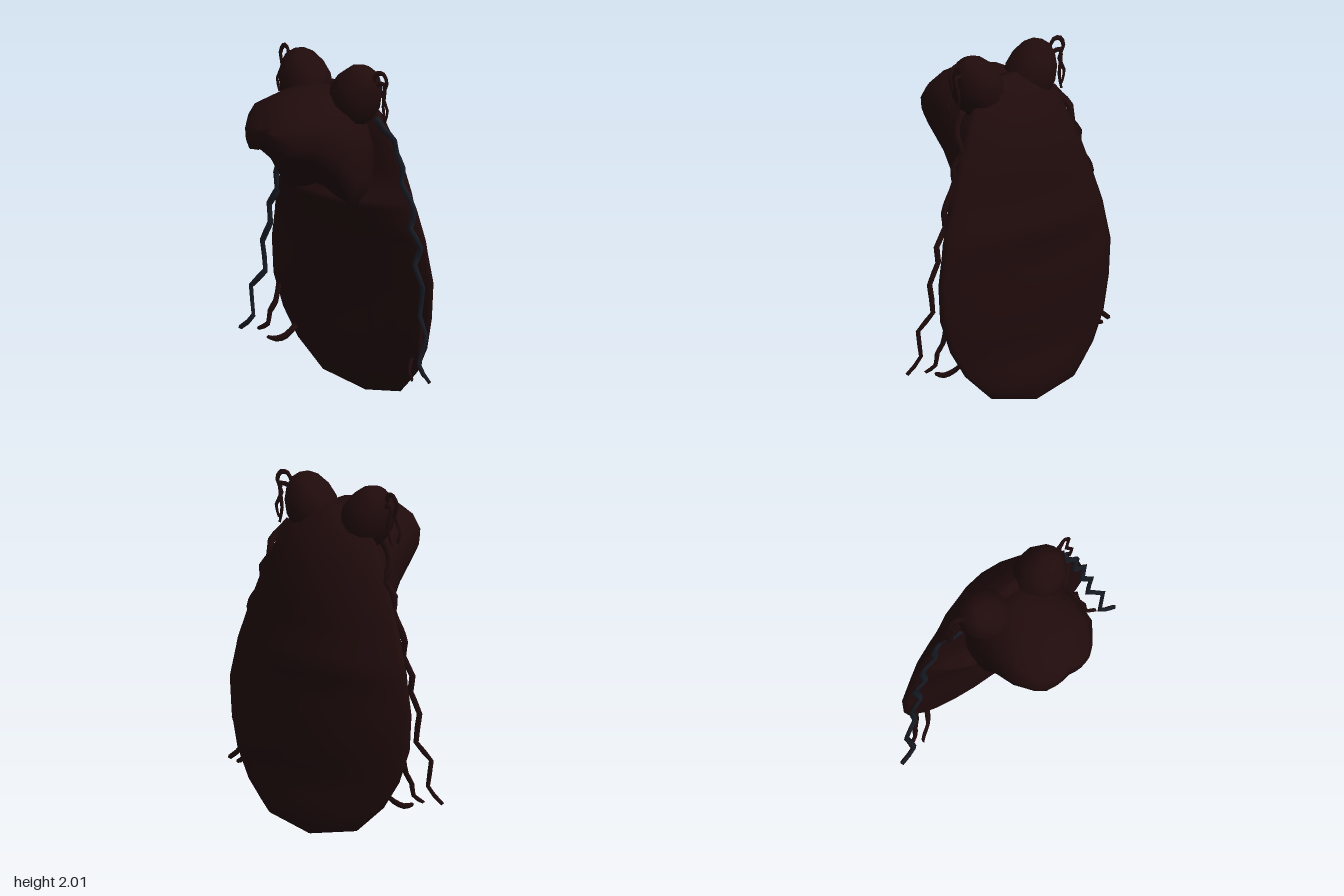
import * as THREE from 'three';

const V = (x, y, z) => new THREE.Vector3(x, y, z);

// Skin closed rings into a solid; capped at both ends and wound outward.
// Quads whose column is listed in 'second' use the second material.
function loft(rings, second = null) {
  const n = rings[0].length, pos = [], main = [], alt = [];
  rings.forEach(r => r.forEach(p => pos.push(p.x, p.y, p.z)));
  for (let i = 0; i < rings.length - 1; i++)
    for (let j = 0; j < n; j++) {
      const a = i * n + j, b = i * n + (j + 1) % n, c = a + n, d = b + n;
      (second && second.includes(j) ? alt : main).push(a, b, c, b, d, c);
    }
  const last = (rings.length - 1) * n;
  for (let j = 1; j < n - 1; j++) {
    main.push(0, j + 1, j);
    main.push(last, last + j, last + j + 1);
  }
  const all = main.concat(alt);
  const at = k => V(pos[3 * k], pos[3 * k + 1], pos[3 * k + 2]);
  let volume = 0;
  for (let i = 0; i < all.length; i += 3)
    volume += at(all[i]).dot(at(all[i + 1]).cross(at(all[i + 2])));
  if (volume < 0)
    for (let i = 0; i < all.length; i += 3) [all[i + 1], all[i + 2]] = [all[i + 2], all[i + 1]];
  const g = new THREE.BufferGeometry();
  g.setAttribute('position', new THREE.Float32BufferAttribute(pos, 3));
  g.setIndex(all);
  if (second) {
    g.addGroup(0, main.length, 0);
    g.addGroup(main.length, alt.length, 1);
  }
  g.computeVertexNormals();
  return g;
}

// Four-sided tapering strand along a wavy path; its front can differ in colour
function strand(path, width, depth, side) {
  const curve = new THREE.CatmullRomCurve3(path.map(p => V(...p)), false, 'centripetal');
  const steps = (path.length - 1) * 2;
  const rings = Array.from({ length: steps + 1 }, (_, i) => {
    const p = curve.getPoint(i / steps), t = curve.getTangent(i / steps);
    const dir = new THREE.Vector2(t.x, t.y).normalize();
    const k = 1 - 0.45 * (i / steps) ** 3;
    const nx = -dir.y * width * k / 2, ny = dir.x * width * k / 2;
    return [V(p.x + nx, p.y + ny, p.z), V(p.x, p.y, p.z + depth / 2),
      V(p.x - nx, p.y - ny, p.z), V(p.x, p.y, p.z - depth / 2)].map(q => q.setX(q.x * side));
  });
  return loft(rings, [0, 1]);
}

export function createModel() {
  const model = new THREE.Group();
  const skin = new THREE.MeshStandardMaterial({ color: 0x200b0c });
  skin.name = 'dark maroon';
  const slate = new THREE.MeshStandardMaterial({ color: 0x181c25 });
  slate.name = 'dark slate';
  const add = (name, geometry, material) => {
    const m = new THREE.Mesh(geometry, material);
    m.name = name;
    model.add(m);
    return m;
  };

  // Shell body: height, half width, rim z, front z, back z
  const body = [
    [0, 0.01, -0.36, -0.355, -0.365], [0.06, 0.31, -0.33, -0.3, -0.385],
    [0.12, 0.375, -0.32, -0.27, -0.4], [0.22, 0.48, -0.3, -0.23, -0.39],
    [0.38, 0.575, -0.28, -0.215, -0.375], [0.57, 0.632, -0.26, -0.2, -0.435],
    [0.78, 0.645, -0.26, -0.175, -0.392], [0.95, 0.61, -0.25, -0.15, -0.42],
    [1.01, 0.6, -0.245, -0.12, -0.43], [1.07, 0.58, -0.24, -0.08, -0.42],
    [1.19, 0.54, -0.23, -0.005, -0.4], [1.23, 0.525, -0.22, 0, -0.4],
    [1.28, 0.51, -0.22, -0.08, -0.395], [1.4, 0.465, -0.21, -0.1, -0.39],
    [1.57, 0.39, -0.19, -0.08, -0.36], [1.7, 0.325, -0.17, -0.06, -0.31],
    [1.8, 0.22, -0.15, -0.05, -0.23], [1.855, 0.08, -0.12, -0.08, -0.15],
  ];
  add('body', loft(body.map(([y, w, rim, front, back]) =>
    Array.from({ length: 20 }, (_, j) => {
      const a = j / 20 * Math.PI * 2, s = Math.sin(a), r = Math.abs(s);
      const z = s >= 0 ? rim + (front - rim) * r ** 1.5 : rim + (back - rim) * r ** 1.6;
      return V(w * Math.cos(a), y, z);
    }))), skin);

  // Overhanging snout: z, top, bottom, half width, mouth notch
  const snout = [
    [-0.22, 1.76, 1.2, 0.28, 0], [-0.08, 1.85, 1.19, 0.305, 0.02],
    [0, 1.865, 1.2, 0.31, 0.1], [0.13, 1.855, 1.4, 0.305, 0.06],
    [0.28, 1.82, 1.52, 0.285, 0.05], [0.38, 1.73, 1.535, 0.21, 0.05],
    [0.41, 1.7, 1.54, 0.17, 0.06], [0.435, 1.68, 1.59, 0.1, 0.03],
  ];
  add('snout', loft(snout.map(([z, top, low, w, notch]) => {
    const mid = low + (top - low) * 0.55;
    const half = [[0.45, 0.9], [0.82, 0.55], [1, 0], [0.97, -0.6], [0.85, -1], [0.42, -0.9]];
    const place = (u, v) => V(u * w, v > 0 ? mid + v * (top - mid) : mid + v * (mid - low), z);
    return [V(0, top, z), ...half.map(([u, v]) => place(u, v)), V(0, low + notch, z),
      ...half.slice().reverse().map(([u, v]) => place(-u, v))];
  })), skin);

  // Domed eye profile, broad at the base
  const eyeProfile = [[0, -0.2], [0.09, -0.17], [0.14, -0.09], [0.152, 0], [0.135, 0.08], [0.095, 0.15], [0.05, 0.185], [0, 0.195]]
    .map(([r, y]) => new THREE.Vector2(r, y));

  // Long wavy feeler, drawn for the left side
  const feeler = [
    [0.33, 1.71, -0.12], [0.38, 1.65, -0.13], [0.42, 1.59, -0.17], [0.41, 1.5, -0.2],
    [0.47, 1.43, -0.19], [0.46, 1.34, -0.19], [0.52, 1.25, -0.2], [0.55, 1.18, -0.2],
    [0.53, 1.09, -0.19], [0.605, 0.99, -0.2], [0.575, 0.89, -0.18], [0.64, 0.77, -0.18],
    [0.615, 0.6, -0.18], [0.7, 0.5, -0.15], [0.66, 0.34, -0.13], [0.755, 0.25, -0.12],
  ];
  // Short hairs at the lower rim and beside the eyes
  const lowerHairs = [
    [[0.57, 0.52, -0.24], [0.575, 0.42, -0.22], [0.6, 0.36, -0.2], [0.605, 0.29, -0.19], [0.66, 0.255, -0.17]],
    [[0.46, 0.3, -0.27], [0.49, 0.24, -0.22], [0.54, 0.215, -0.19], [0.575, 0.225, -0.16]],
  ];
  const eyeHairs = [
    [[0.33, 1.92, -0.09], [0.36, 1.98, -0.1], [0.4, 1.98, -0.11], [0.425, 1.93, -0.11],
      [0.4, 1.86, -0.1], [0.44, 1.78, -0.1], [0.42, 1.71, -0.1]],
    [[0.34, 1.91, -0.11], [0.39, 1.92, -0.12], [0.385, 1.85, -0.13], [0.375, 1.78, -0.13], [0.4, 1.69, -0.12]],
  ];

  for (const [label, side] of [['left', 1], ['right', -1]]) {
    // Bulging eye, leaning outward
    const eye = add(label + 'Eye', new THREE.LatheGeometry(eyeProfile, 12), skin);
    eye.position.set(0.2 * side, 1.82, -0.085);
    eye.rotation.z = -0.46 * side;

    add(label + 'Feeler', strand(feeler, 0.05, 0.028, side), [skin, slate]);
    lowerHairs.forEach((p, i) =>
      add(label + 'LowerHair' + (i + 1), strand(p, 0.04, 0.025, side), [skin, skin]));
    eyeHairs.forEach((p, i) =>
      add(label + 'EyeHair' + (i + 1), strand(p, 0.03, 0.02, side), [skin, skin]));
  }
  return model;
}
